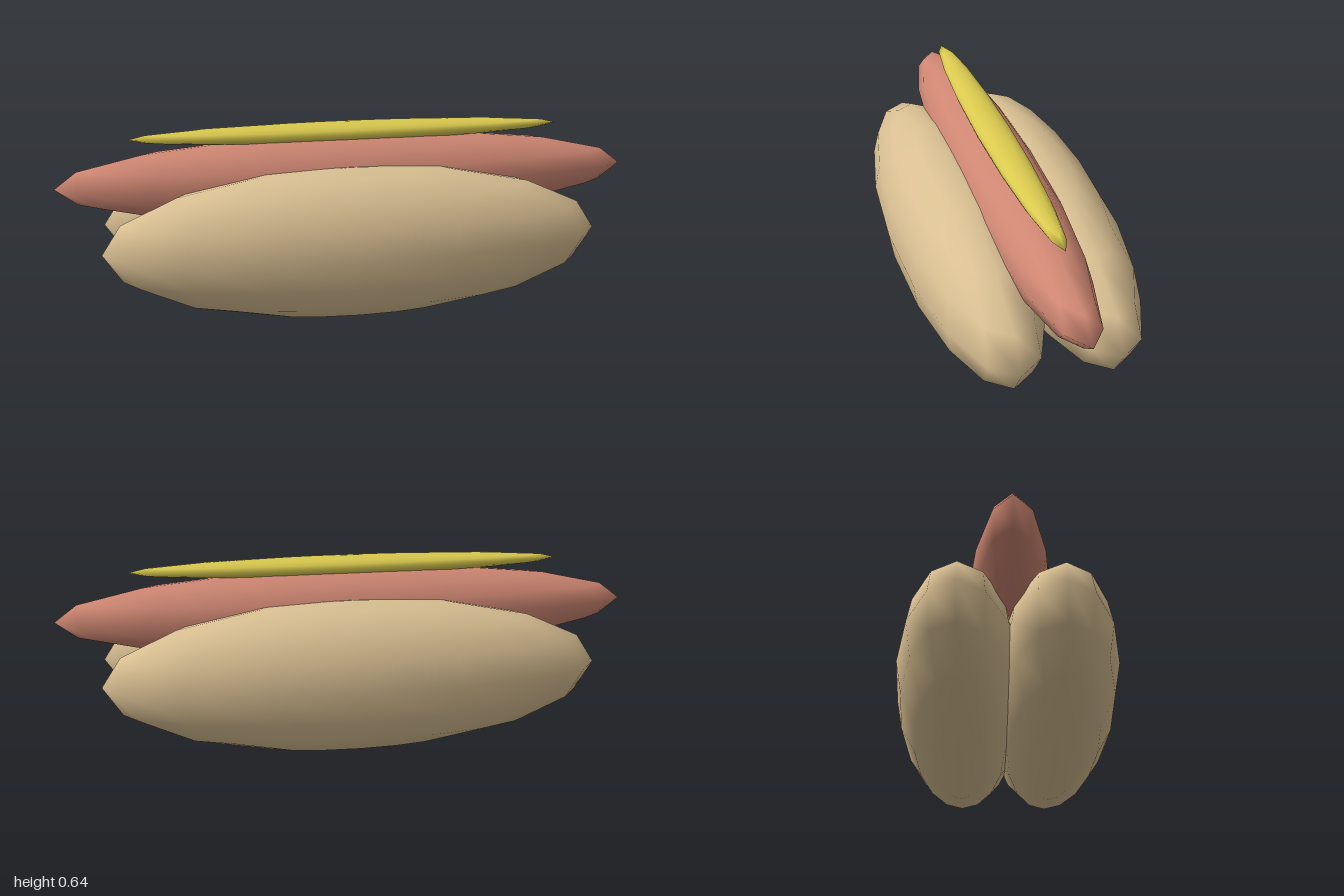
import * as THREE from 'three';

const material = (name, color) => {
  const m = new THREE.MeshStandardMaterial({ color });
  m.name = name;
  return m;
};

export function createModel() {
  const group = new THREE.Group();
  group.name = 'hotDog';

  const bread = material('bread', 0xd9bf92);
  const meat = material('meat', 0xce8672);
  const yellow = material('mustardYellow', 0xd9c94e);

  // Every part is a coarse, smoothly shaded ball stretched along x
  const ball = new THREE.SphereGeometry(1, 16, 8);
  const addPart = (name, mat, radii, position) => {
    const mesh = new THREE.Mesh(ball, mat);
    mesh.name = name;
    mesh.scale.set(...radii);
    mesh.position.set(...position);
    group.add(mesh);
  };

  // Two bun halves, front and back
  addPart('bunFront', bread, [0.85, 0.26, 0.22], [0, 0.26, 0.16]);
  addPart('bunBack', bread, [0.85, 0.26, 0.22], [0, 0.26, -0.16]);

  // Sausage resting between the halves
  addPart('sausage', meat, [1, 0.15, 0.15], [0, 0.446, 0]);

  // Mustard strip along the top
  addPart('mustard', yellow, [0.75, 0.034, 0.06], [0, 0.606, 0]);

  return group;
}
